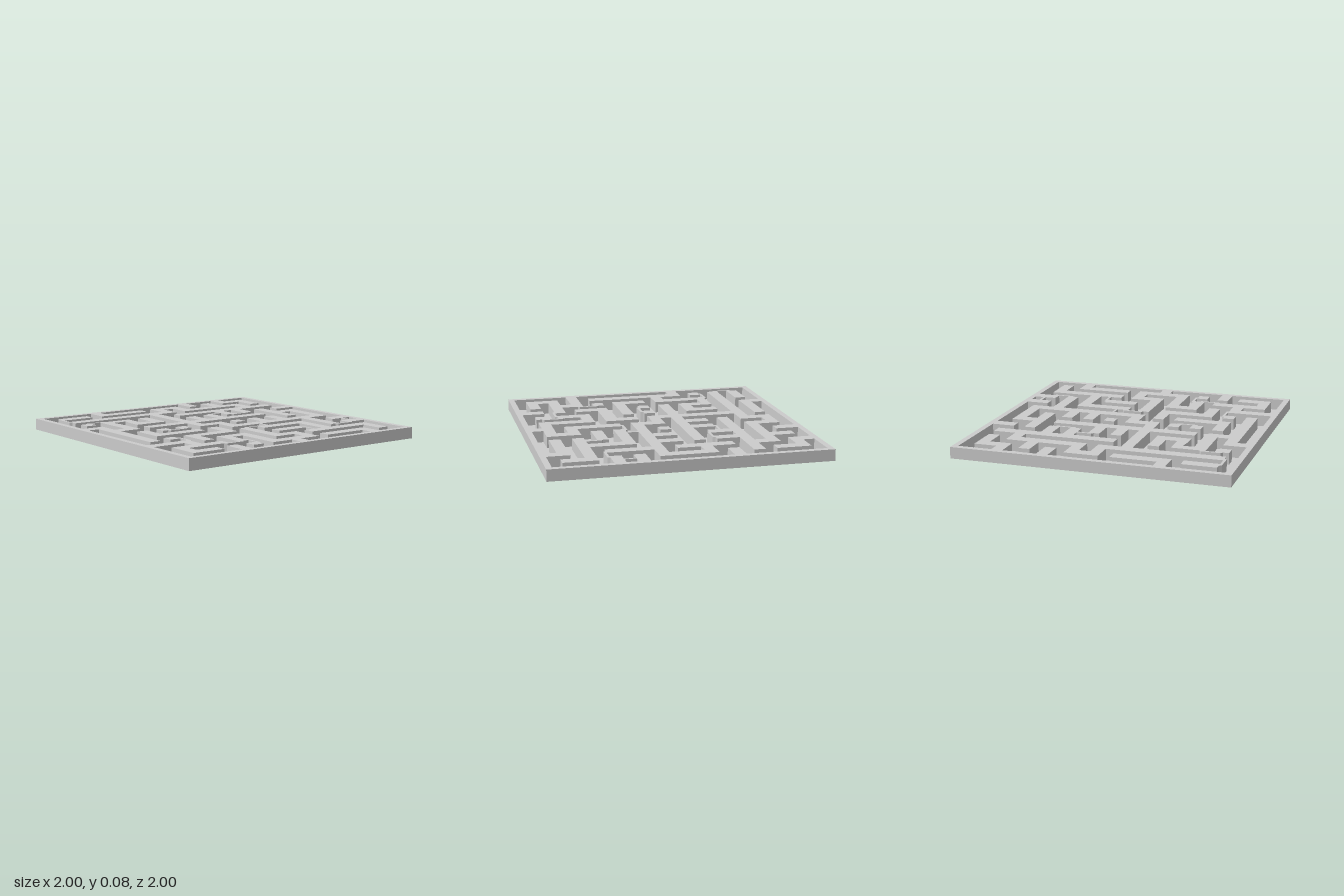
import * as THREE from 'three';

const H = 0.083, N = 23, PITCH = 1.914 / N;
const material = new THREE.MeshStandardMaterial({ color: 0xcccccc, flatShading: true, side: THREE.DoubleSide });

// Wall runs along rows: row, first column, last column
const ROWS = [
  [1, 1, 3], [1, 5, 9], [1, 11, 13], [1, 19, 21], [3, 1, 11], [3, 13, 19],
  [5, 1, 1], [5, 3, 5], [5, 11, 21], [7, 0, 1], [7, 5, 7], [7, 21, 22],
  [9, 1, 3], [9, 5, 17], [9, 19, 21], [11, 5, 5], [11, 7, 7], [11, 9, 11],
  [11, 13, 13], [13, 3, 7], [13, 11, 21], [15, 3, 3], [15, 5, 9], [15, 13, 17],
  [15, 21, 22], [17, 0, 3], [17, 7, 9], [17, 13, 15], [17, 21, 22], [19, 1, 5],
  [19, 11, 13], [19, 15, 21], [21, 1, 3], [21, 7, 7], [21, 9, 13], [21, 15, 19],
];
// Wall runs along columns: column, first row, last row
const COLS = [
  [1, 7, 15], [1, 19, 21], [3, 5, 9], [3, 11, 13], [3, 17, 19], [5, 0, 1],
  [5, 5, 7], [5, 15, 17], [5, 21, 22], [7, 5, 7], [7, 17, 19], [9, 3, 11],
  [9, 13, 15], [9, 17, 21], [11, 1, 3], [11, 7, 9], [11, 11, 13], [11, 15, 19],
  [11, 21, 22], [13, 1, 3], [13, 7, 9], [13, 19, 21], [15, 0, 1], [15, 5, 7],
  [15, 11, 13], [17, 1, 3], [17, 5, 7], [17, 11, 13], [17, 15, 19], [19, 0, 1],
  [19, 3, 5], [19, 7, 11], [19, 13, 17], [19, 21, 22], [21, 1, 3], [21, 9, 13],
  [21, 19, 21],
];
// Thin panels closing passages: column, row, outward direction x, z
const PANELS = [
  [1, 2, -1, 0], [2, 5, 0, -1], [14, 7, 0, -1], [16, 7, 0, 1], [6, 11, 0, 1],
  [13, 14, 1, 0], [12, 15, 0, -1], [3, 16, 1, 0], [21, 16, 1, 0], [20, 17, 0, 1],
  [15, 18, 1, 0], [6, 19, 0, 1], [7, 20, 1, 0],
];

const walls = new Set();
for (const [r, a, b] of ROWS) for (let c = a; c <= b; c++) walls.add(c + ',' + r);
for (const [c, a, b] of COLS) for (let r = a; r <= b; r++) walls.add(c + ',' + r);

const inside = (c, r) => c >= 0 && c < N && r >= 0 && r < N;
const onBoard = (c, r) => c >= -1 && c <= N && r >= -1 && r <= N;
const isWall = (c, r) => onBoard(c, r) && (!inside(c, r) || walls.has(c + ',' + r));
const bound = i => (i < 0 ? -1 : i > N ? 1 : -0.957 + PITCH * i);

// Grid corner; the two at one dead end spread into a wider pocket
function corner(i, j) {
  let x = bound(i), z = bound(j);
  if (j === 6 && (i === 4 || i === 5)) {
    x += i === 4 ? -0.012 : 0.012;
    z -= 0.015;
  }
  return [x, z];
}

function meshFromQuads(name, quads) {
  const pos = [];
  for (const [a, b, c, d] of quads) pos.push(...a, ...b, ...c, ...a, ...c, ...d);
  const geo = new THREE.BufferGeometry();
  geo.setAttribute('position', new THREE.Float32BufferAttribute(pos, 3));
  geo.computeVertexNormals();
  const mesh = new THREE.Mesh(geo, material);
  mesh.name = name;
  return mesh;
}

export function createModel() {
  const group = new THREE.Group();
  group.name = 'mazeBoard';
  const tops = [], sides = [], floor = [];
  const neighbours = [[-1, 0], [0, 1], [1, 0], [0, -1]];

  for (let r = -1; r <= N; r++) {
    for (let c = -1; c <= N; c++) {
      const p = [corner(c, r), corner(c, r + 1), corner(c + 1, r + 1), corner(c + 1, r)];
      const at = y => p.map(([x, z]) => [x, y, z]);
      if (!isWall(c, r)) {
        floor.push(at(0));
        continue;
      }
      // Hollow wall: a top and its exposed sides, open underneath
      const low = at(0), high = at(H);
      tops.push(high);
      neighbours.forEach(([dx, dz], k) => {
        const n = (k + 1) % 4;
        if (!isWall(c + dx, r + dz)) sides.push([low[k], low[n], high[n], high[k]]);
      });
    }
  }
  group.add(meshFromQuads('corridorFloor', floor));
  group.add(meshFromQuads('wallTops', tops));
  group.add(meshFromQuads('wallSides', sides));

  // Panels with bevelled ends, overlapping half a wall on either side
  const shape = new THREE.Shape([[-0.083, 0], [-0.07, -0.018], [0.07, -0.018], [0.083, 0]]
    .map(([x, y]) => new THREE.Vector2(x, y)));
  const panelGeo = new THREE.ExtrudeGeometry(shape, { depth: H, bevelEnabled: false });
  panelGeo.rotateX(-Math.PI / 2);
  for (const [c, r, dx, dz] of PANELS) {
    const panel = new THREE.Mesh(panelGeo, material);
    panel.name = 'passagePanel';
    panel.position.set(bound(c) + PITCH * (0.5 + dx / 2), 0, bound(r) + PITCH * (0.5 + dz / 2));
    panel.rotation.y = Math.atan2(dx, dz);
    group.add(panel);
  }
  return group;
}
